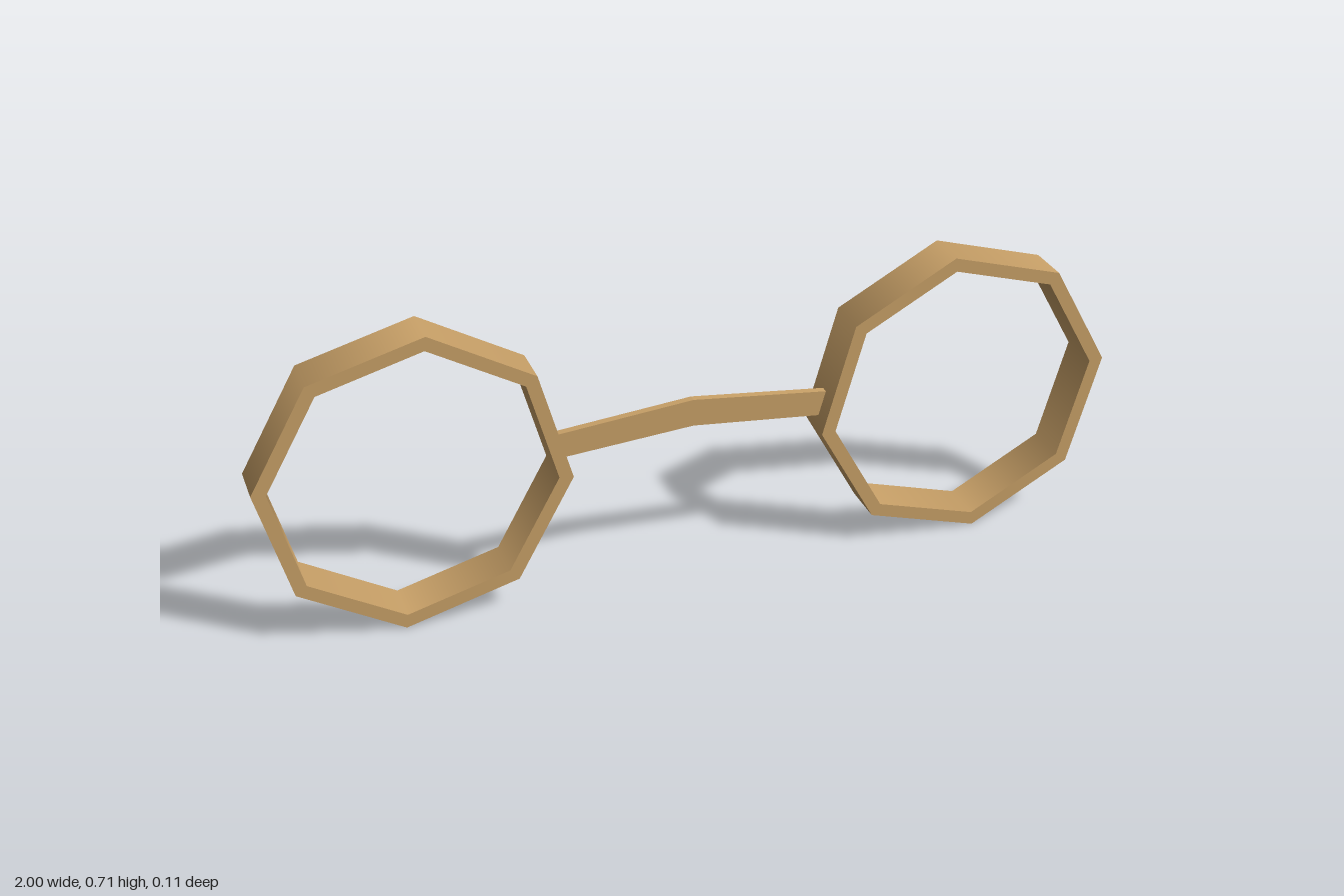
import * as THREE from 'three';
import { mergeGeometries } from 'three/addons/utils/BufferGeometryUtils.js';

const OUTER = 0.355, INNER = 0.322, HALF_DEPTH = 0.053;
const CENTRE_X = 0.647, CENTRE_Y = 0.353;
const TILT = THREE.MathUtils.degToRad(6.6);

// Eight-sided rim: walls smooth around the ring, sharp at the front and back edges
function rimGeometry(tilt) {
  const corners = [
    [OUTER, -HALF_DEPTH], [OUTER, HALF_DEPTH], [INNER, HALF_DEPTH], [INNER, -HALF_DEPTH],
  ].map(([r, y]) => new THREE.Vector2(r, y));
  const bands = corners.map((p, i) =>
    new THREE.LatheGeometry([p, corners[(i + 1) % 4]], 8, tilt));
  return mergeGeometries(bands).rotateX(Math.PI / 2);
}

export function createModel() {
  const model = new THREE.Group();
  model.name = 'spectacles';
  const brass = new THREE.MeshStandardMaterial({ color: 0xc9a168 });

  // Mirrored pair of rims
  for (const side of [1, -1]) {
    const rim = new THREE.Mesh(rimGeometry(side * TILT), brass);
    rim.name = side > 0 ? 'leftRim' : 'rightRim';
    rim.position.set(side * CENTRE_X, CENTRE_Y, 0);
    model.add(rim);
  }

  // Thin bridge, bent upward in the middle, its ends sunk into the rims
  const outline = [
    [-0.325, 0.338], [0, 0.366], [0.325, 0.338],
    [0.325, 0.398], [0, 0.431], [-0.325, 0.398],
  ].map(([x, y]) => new THREE.Vector2(x, y));
  const thickness = 0.018;
  const bridgeGeometry = new THREE.ExtrudeGeometry(new THREE.Shape(outline),
    { depth: thickness, bevelEnabled: false });
  bridgeGeometry.translate(0, 0, -thickness / 2);
  const bridge = new THREE.Mesh(bridgeGeometry, brass);
  bridge.name = 'bridge';
  model.add(bridge);

  return model;
}
